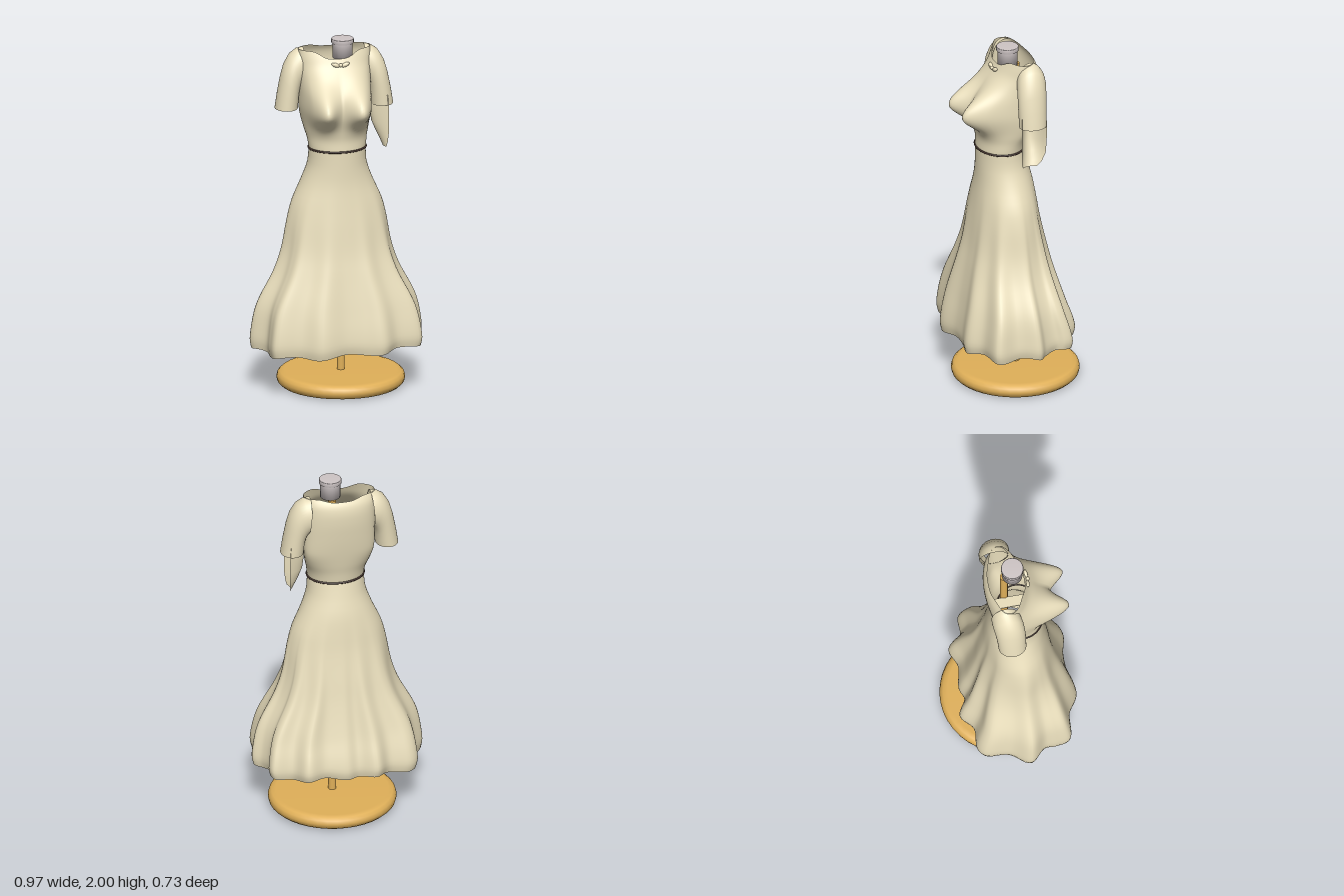
import * as THREE from 'three';

const V = (x, y, z) => new THREE.Vector3(x, y, z);
const DRESS = 0xeadfbd, WOOD = 0xe0b059, METAL = 0xcfc6c6, BELT = 0x40302a;

function mesh(name, geometry, color, parent) {
  const material = new THREE.MeshStandardMaterial({ color, side: THREE.DoubleSide });
  const m = new THREE.Mesh(geometry, material);
  m.name = name;
  parent.add(m);
  return m;
}

// Skin a stack of equal-length rings; closed rings wrap around
function loft(rings, closed = true) {
  const n = rings[0].length, index = [];
  for (let j = 0; j < rings.length - 1; j++) {
    for (let i = 0; i < (closed ? n : n - 1); i++) {
      const k = (i + 1) % n, a = j * n + i, b = j * n + k, c = a + n, d = b + n;
      index.push(a, c, b, b, c, d);
    }
  }
  const g = new THREE.BufferGeometry().setFromPoints(rings.flat());
  g.setIndex(index);
  g.computeVertexNormals();
  return g;
}

// Smooth lookup in rows of [y, halfWidth, frontZ, backZ], rising in y
function profile(rows) {
  const f = new THREE.CubicInterpolant(
    new Float32Array(rows.map(r => r[0])),
    new Float32Array(rows.flatMap(r => r.slice(1))), 3);
  return y => Array.from(f.evaluate(y));
}

const lathe = (pts, n = 40) => new THREE.LatheGeometry(pts.map(p => new THREE.Vector2(...p)), n);

// Skirt: oval at the waist, blending into the folded outline of the hem
function skirtGeometry() {
  const hem = [
    [0.485, 0.02], [0.43, 0.13], [0.435, 0.26], [0.30, 0.29], [0.21, 0.355], [0.1, 0.335],
    [0, 0.335], [-0.14, 0.365], [-0.25, 0.305], [-0.39, 0.285], [-0.41, 0.21], [-0.415, 0.14],
    [-0.488, 0.05], [-0.42, -0.06], [-0.40, -0.2], [-0.35, -0.235], [-0.24, -0.23],
    [-0.155, -0.295], [-0.06, -0.25], [0.01, -0.27], [0.13, -0.25], [0.235, -0.285],
    [0.31, -0.205], [0.41, -0.2], [0.43, -0.15], [0.415, -0.1], [0.44, -0.03]];
  const outline = new THREE.CatmullRomCurve3(hem.map(([x, z]) => V(x / 0.485, 0, (z - 0.037) / 0.328)), true)
    .getPoints(162).slice(0, -1);
  const at = profile([
    [0.26, 0.475, 0.355, -0.28], [0.30, 0.484, 0.364, -0.29], [0.36, 0.48, 0.36, -0.282],
    [0.5, 0.45, 0.332, -0.24], [0.7, 0.35, 0.285, -0.19], [0.8, 0.315, 0.262, -0.17],
    [1.0, 0.275, 0.23, -0.132], [1.08, 0.253, 0.218, -0.122], [1.2, 0.2, 0.203, -0.105],
    [1.3, 0.165, 0.2, -0.08], [1.39, 0.158, 0.2, -0.06]]);
  const rings = [], levels = 36;
  for (let j = 0; j <= levels; j++) {
    const y = 0.26 + 1.13 * Math.pow(j / levels, 1.25);
    const [a, zf, zb] = at(y);
    const fold = 1 - THREE.MathUtils.smoothstep(y, 0.3, 1.25);
    const low = Math.max(0, 1 - (y - 0.26) / 0.2);
    rings.push(outline.map(u => {
      const rho = Math.hypot(u.x, u.z), k = (1 + fold * (rho - 1)) / rho;
      const t = Math.atan2(u.z, u.x);
      const drop = low * (0.014 * u.x + 0.008 * Math.sin(9 * t) - 0.006 * u.z);
      return V(a * k * u.x, y + drop, (zf + zb) / 2 + (zf - zb) / 2 * k * u.z);
    }));
  }
  return loft(rings);
}

// Bodice: oval rings with a two-sided bust and a dipped neckline
function bodiceGeometry() {
  const at = profile([
    [1.39, 0.158, 0.2, -0.06], [1.45, 0.167, 0.198, -0.07], [1.5, 0.18, 0.205, -0.082],
    [1.6, 0.198, 0.222, -0.102], [1.7, 0.2, 0.212, -0.117], [1.8, 0.2, 0.155, -0.127],
    [1.86, 0.2, 0.115, -0.126], [1.9, 0.202, 0.095, -0.116], [1.94, 0.2, 0.075, -0.09]]);
  const rings = [], n = 96, levels = 36;
  for (let j = 0; j <= levels; j++) {
    const ring = [];
    for (let i = 0; i < n; i++) {
      const t = i / n * Math.PI * 2, c = Math.cos(t), s = Math.sin(t);
      const dip = Math.exp(-Math.pow(c / 0.5, 4)) * (s > 0 ? 0.04 : 0.018);
      const y = 1.39 + (1.938 - dip - 1.39) * j / levels;
      const [a, zf, zb] = at(y);
      const zc = THREE.MathUtils.lerp(0.07, -0.01, THREE.MathUtils.smoothstep(y, 1.39, 1.6));
      const square = THREE.MathUtils.lerp(1, 0.75, THREE.MathUtils.smoothstep(y, 1.39, 1.6));
      const x = a * c;
      let z = s > 0 ? zc + (zf - zc) * s : zc + (zb - zc) * Math.pow(-s, square);
      if (s > 0) {
        const dy = (y - 1.635) / (y > 1.635 ? 0.115 : 0.095), dx = (Math.abs(x) - 0.11) / 0.075;
        z += 0.142 * Math.exp(-dx * dx - dy * dy) * Math.min(1, s * 1.8);
      }
      ring.push(V(x, y, z));
    }
    rings.push(ring);
  }
  return loft(rings);
}

// Sleeve: rings given by their outer and inner points and their z range
function sleeveGeometry(side) {
  const rows = [ // outer x, y, inner x, y, front z, back z
    [0.17, 1.938, 0.185, 1.72, 0.04, -0.12], [0.205, 1.934, 0.188, 1.715, 0.045, -0.12],
    [0.245, 1.908, 0.193, 1.70, 0.052, -0.117], [0.28, 1.85, 0.197, 1.68, 0.056, -0.11],
    [0.3, 1.78, 0.2, 1.66, 0.058, -0.105], [0.318, 1.69, 0.202, 1.63, 0.058, -0.1],
    [0.332, 1.6, 0.205, 1.6, 0.058, -0.097]];
  const n = 40;
  const rings = rows.map(([ox, oy, ix, iy, zf, zb]) => Array.from({ length: n }, (_, i) => {
    const t = i / n * Math.PI * 2, c = (1 + Math.cos(t)) / 2;
    return V(side * (ix + (ox - ix) * c), iy + (oy - iy) * c,
      (zf + zb) / 2 + (zf - zb) / 2 * Math.sin(t));
  }));
  return loft(rings.reverse());
}

// Loose cloth hanging below the left sleeve
function flapGeometry() {
  const rows = [ // y, inner x, edge x, front z, back z
    [1.66, 0.2, 0.29, 0.053, -0.092], [1.58, 0.2, 0.295, 0.055, -0.093],
    [1.5, 0.21, 0.295, 0.055, -0.09], [1.44, 0.235, 0.294, 0.055, -0.085],
    [1.39, 0.258, 0.288, 0.054, -0.065], [1.36, 0.27, 0.282, 0.045, -0.035]];
  return loft(rows.map(([y, xi, xe, zf, zb]) => Array.from({ length: 15 }, (_, i) => {
    const u = i / 14 * 2 - 1;
    return V(xi + (xe - xi) * u * u, y, (zf + zb) / 2 - (zf - zb) / 2 * u);
  })), false);
}

export function createModel() {
  const model = new THREE.Group();
  model.name = 'dressOnStand';

  // Stand
  const stand = new THREE.Group();
  stand.name = 'stand';
  model.add(stand);
  const base = mesh('base', lathe([
    [0, 0], [0.31, 0], [0.335, 0.006], [0.35, 0.02], [0.355, 0.04],
    [0.35, 0.06], [0.335, 0.074], [0.31, 0.08], [0, 0.08]]), WOOD, stand);
  base.position.set(0.037, 0, -0.01);
  const pole = mesh('pole', new THREE.CylinderGeometry(0.022, 0.022, 1.82, 20), WOOD, stand);
  pole.position.set(0.037, 0.98, -0.01);
  const cap = mesh('neckCap', lathe([
    [0, 1.89], [0.056, 1.89], [0.056, 1.972], [0.062, 1.975], [0.062, 1.997], [0.059, 2], [0, 2]], 32), METAL, stand);
  cap.position.set(0.037, 0, 0.037);

  // Dress
  const dress = new THREE.Group();
  dress.name = 'dress';
  model.add(dress);
  mesh('skirt', skirtGeometry(), DRESS, dress);
  mesh('bodice', bodiceGeometry(), DRESS, dress);
  mesh('leftSleeve', sleeveGeometry(1), DRESS, dress);
  mesh('rightSleeve', sleeveGeometry(-1), DRESS, dress);
  mesh('leftSleeveFlap', flapGeometry(), DRESS, dress);
  const strap = mesh('innerStrap', new THREE.BoxGeometry(0.06, 0.008, 0.29), DRESS, dress);
  strap.position.set(-0.01, 1.6, 0.055);

  // Belt around the waist
  const waist = Array.from({ length: 32 }, (_, i) => {
    const t = i / 32 * Math.PI * 2;
    return V(0.159 * Math.cos(t), 1.39, 0.07 + 0.131 * Math.sin(t));
  });
  mesh('belt', new THREE.TubeGeometry(new THREE.CatmullRomCurve3(waist, true), 96, 0.006, 8, true), BELT, dress);

  // Small bow below the neckline
  const bow = new THREE.Group();
  bow.name = 'bow';
  bow.position.set(0.01, 1.868, 0.112);
  dress.add(bow);
  for (const s of [-1, 1]) {
    const loop = mesh('bowLoop', new THREE.SphereGeometry(0.02, 12, 8), DRESS, bow);
    loop.scale.set(1.3, 0.6, 0.6);
    loop.position.set(s * 0.027, 0, 0);
    loop.rotation.z = s * 0.4;
  }
  mesh('bowKnot', new THREE.SphereGeometry(0.011, 10, 8), DRESS, bow).position.z = 0.006;

  return model;
}
